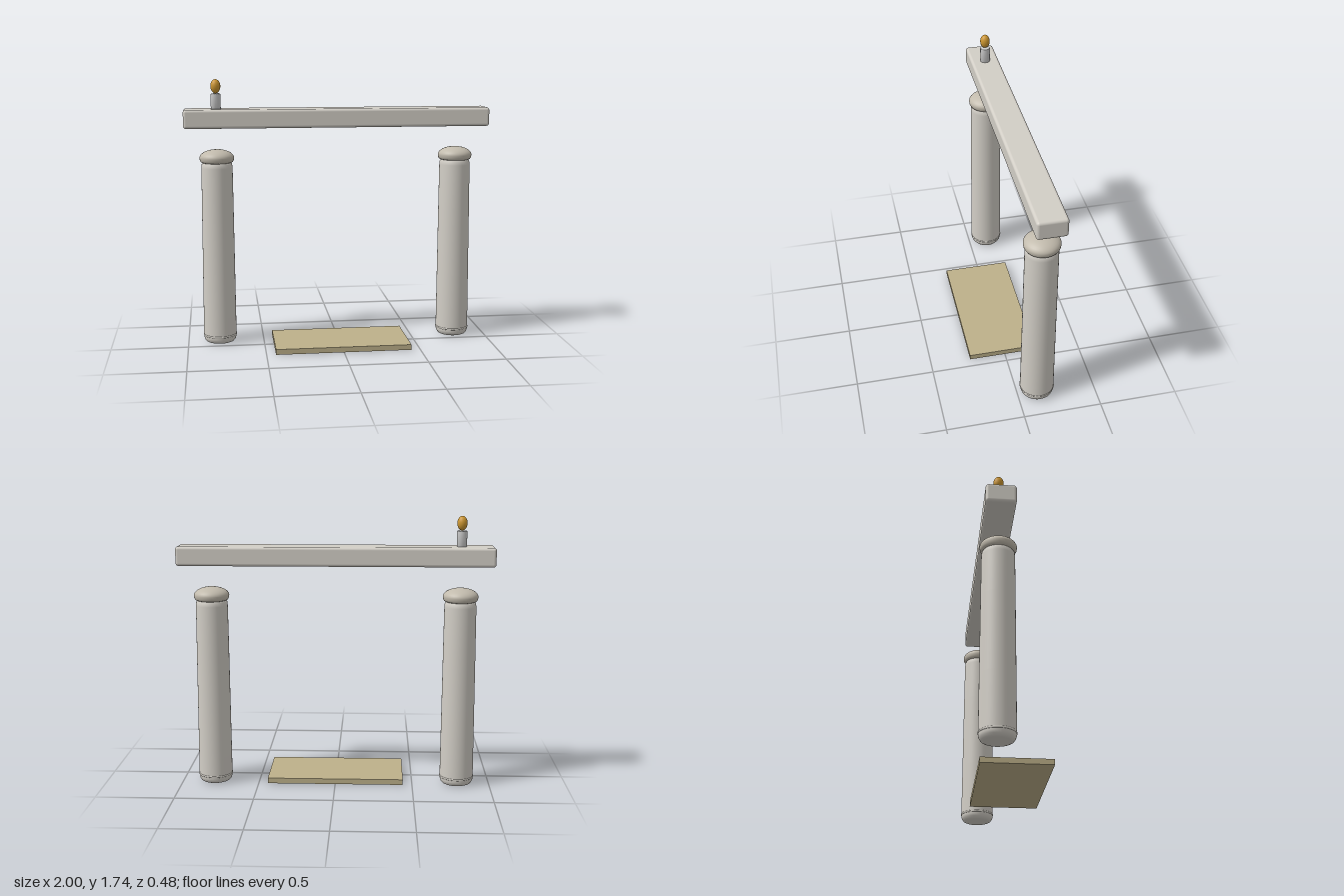
import * as THREE from 'three';
import { RoundedBoxGeometry } from 'three/addons/geometries/RoundedBoxGeometry.js';

const Z = -0.13; // depth of the gate's centre line

const mat = (color) => new THREE.MeshStandardMaterial({ color });
const stone = mat(0xd2cec6);
const capStone = mat(0xc2bbad);
const wax = mat(0xcccccc);
const gold = mat(0xcc9630);
const woven = mat(0xbdb08a);

function add(parent, name, geometry, material, x = 0, y = 0, z = 0) {
  const mesh = new THREE.Mesh(geometry, material);
  mesh.name = name;
  mesh.position.set(x, y, z);
  parent.add(mesh);
  return mesh;
}

const lathe = (points, segments = 40) =>
  new THREE.LatheGeometry(points.map(([r, y]) => new THREE.Vector2(r, y)), segments);

// Slightly tapered shaft with softened rims
function shaftGeometry() {
  return lathe([
    [0, 0.003], [0.08, 0.003], [0.092, 0.008], [0.102, 0.02], [0.107, 0.035],
    [0.108, 0.06], [0.106, 0.4], [0.103, 0.9], [0.101, 1.17], [0.098, 1.195],
    [0.088, 1.21], [0, 1.212],
  ]);
}

// Rounded collar under a shallow dome
function capGeometry() {
  const points = [[0, 1.203], [0.092, 1.203], [0.104, 1.209], [0.11, 1.22], [0.112, 1.235]];
  for (let i = 1; i <= 10; i++) {
    const a = (i / 10) * Math.PI / 2;
    points.push([i === 10 ? 0 : 0.112 * Math.cos(a), 1.235 + 0.055 * Math.sin(a)]);
  }
  return lathe(points);
}

function createPillar(name, x) {
  const pillar = new THREE.Group();
  pillar.name = name;
  pillar.position.set(x, 0, Z);
  add(pillar, 'shaft', shaftGeometry(), stone);
  add(pillar, 'cap', capGeometry(), capStone);
  // Thin bead around the foot
  const bead = add(pillar, 'footBead', new THREE.TorusGeometry(0.104, 0.007, 8, 40), stone, 0, 0.052, 0);
  bead.rotation.x = Math.PI / 2;
  return pillar;
}

export function createModel() {
  const model = new THREE.Group();
  model.name = 'gateway';

  model.add(createPillar('leftPillar', 0.79), createPillar('rightPillar', -0.79));

  // Lintel floating above the pillars
  add(model, 'lintel', new RoundedBoxGeometry(2, 0.122, 0.186, 4, 0.018), stone, 0, 1.491, Z);

  // Candle and flame on the lintel
  add(model, 'candle', lathe([
    [0, 1.54], [0.032, 1.54], [0.032, 1.646], [0.029, 1.651], [0, 1.651],
  ], 24), wax, -0.79, 0, Z);
  const flame = add(model, 'flame', new THREE.SphereGeometry(0.032, 20, 16), gold, -0.79, 1.697, Z);
  flame.scale.y = 1.42;

  // Threshold mat
  add(model, 'mat', new THREE.BoxGeometry(0.88, 0.035, 0.44), woven, 0, 0.0215, 0.018);

  return model;
}
